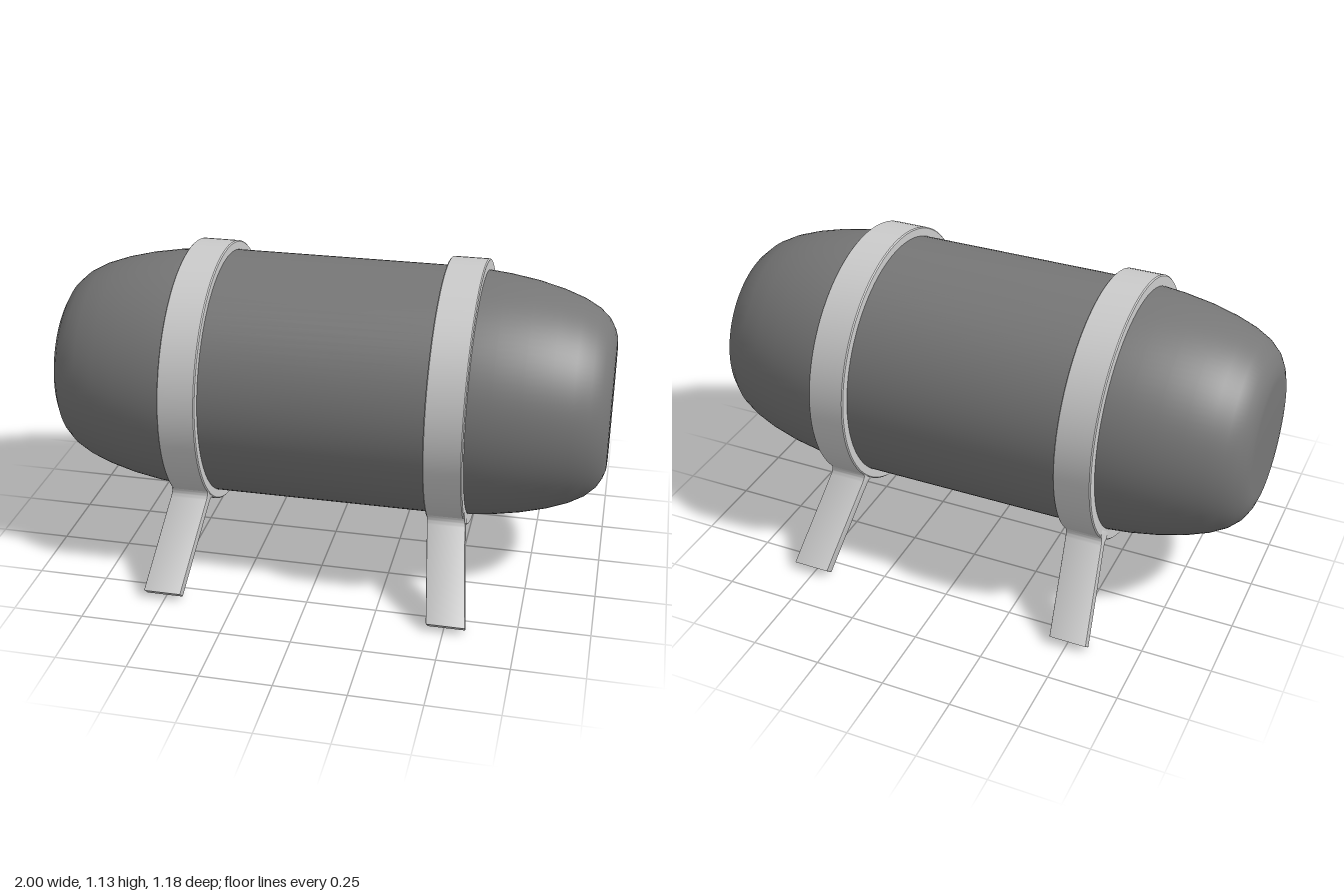
import * as THREE from 'three';
import { toCreasedNormals } from 'three/addons/utils/BufferGeometryUtils.js';

const AXIS_Y = 0.652;   // height of the tank's axis
const BAND_X = 0.4625;  // distance of each band from the middle
const BAND_W = 0.135;

const bodyMat = new THREE.MeshStandardMaterial({ color: 0x777777 });
const metalMat = new THREE.MeshStandardMaterial({ color: 0xcccccc });

// Turns a [radius, x] profile around the x axis
function turned(profile) {
  const pts = profile.map(([r, x]) => new THREE.Vector2(r, x));
  return new THREE.LatheGeometry(pts, 96).rotateZ(-Math.PI / 2);
}

// Barrel with bulging, flat-ended caps; the half profile is mirrored
function tankGeometry() {
  const half = [
    [0, 1], [0.205, 1], [0.235, 0.998], [0.265, 0.988], [0.3, 0.968], [0.335, 0.93],
    [0.365, 0.875], [0.392, 0.8], [0.415, 0.71], [0.432, 0.61], [0.442, 0.51], [0.446, 0.4],
  ];
  const start = half.map(([r, x]) => [r, -x]);
  return turned([...start, ...half.reverse()]);
}

// Flat strap with slightly chamfered rims
function bandGeometry() {
  const h = BAND_W / 2, c = 0.004;
  const g = turned([
    [0.425, -h], [0.479 - c, -h], [0.479, -h + c], [0.479, h - c], [0.479 - c, h], [0.425, h],
  ]);
  return toCreasedNormals(g, 0.5);
}

// Radial foot plate, flared where it meets the band and leaning outward along x
function legGeometry(side) {
  const t = 0.0175, bevel = 0.004, top = 0.45, end = 0.85;
  const s = new THREE.Shape();
  s.moveTo(-0.04, -top);
  s.lineTo(-0.036, -0.474);
  s.quadraticCurveTo(-t, -0.482, -t, -0.505);
  s.lineTo(-t, -end);
  s.lineTo(t, -end);
  s.lineTo(t, -0.505);
  s.quadraticCurveTo(t, -0.482, 0.036, -0.474);
  s.lineTo(0.04, -top);
  s.closePath();
  const depth = BAND_W - 2 * bevel;
  const g = new THREE.ExtrudeGeometry(s, {
    depth, bevelSize: bevel, bevelThickness: bevel, bevelSegments: 2, curveSegments: 6,
  });
  g.translate(0, 0, -depth / 2).rotateY(Math.PI / 2);
  const p = g.attributes.position;
  for (let i = 0; i < p.count; i++) {
    const along = Math.max(0, -p.getY(i) - top);
    p.setX(i, p.getX(i) + side * 0.112 * along);
  }
  return toCreasedNormals(g, 0.6);
}

export function createModel() {
  const model = new THREE.Group();
  model.name = 'tankOnLegs';

  const add = (name, geometry, material, x) => {
    const mesh = new THREE.Mesh(geometry, material);
    mesh.name = name;
    mesh.position.set(x, AXIS_Y, 0);
    model.add(mesh);
    return mesh;
  };

  add('tank', tankGeometry(), bodyMat, 0);

  // Two bands, each with a front and a back leg
  for (const side of [1, -1]) {
    const label = side > 0 ? 'left' : 'right';
    add(label + 'Band', bandGeometry(), metalMat, side * BAND_X);
    for (const dir of [1, -1]) {
      const leg = add(label + (dir > 0 ? 'FrontLeg' : 'BackLeg'), legGeometry(side), metalMat, side * BAND_X);
      leg.rotation.x = -dir * 0.737;
    }
  }
  return model;
}
